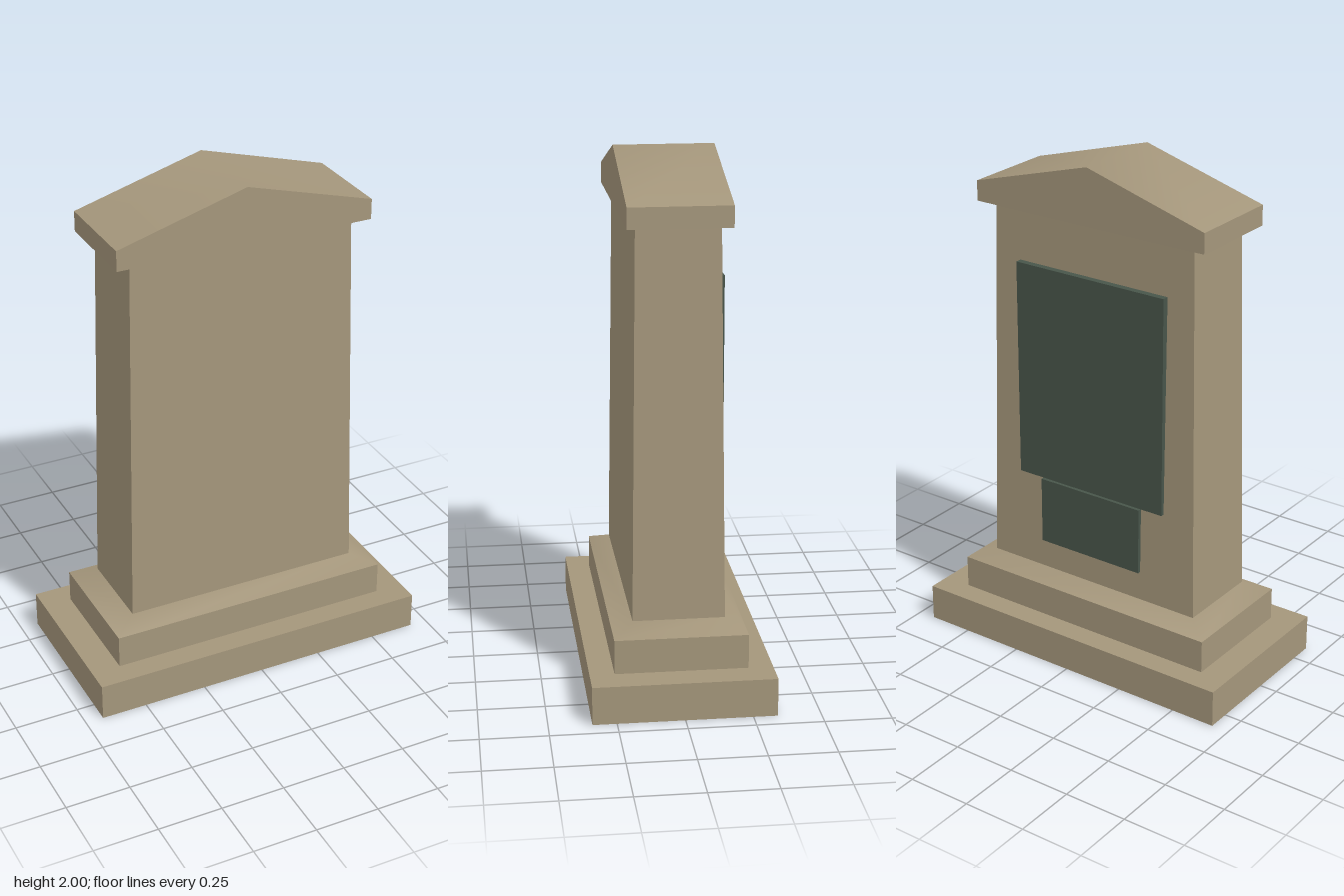
import * as THREE from 'three';
import { toCreasedNormals } from 'three/addons/utils/BufferGeometryUtils.js';

const CREASE = 0.6; // shallow slopes blend, corners stay sharp

// Box from y0 to y1 whose top has its own half sizes
function taperedBlock(y0, y1, [bx, bz], [tx, tz] = [bx, bz]) {
  const geo = new THREE.BoxGeometry(2, 1, 2);
  const p = geo.attributes.position;
  for (let i = 0; i < p.count; i++) {
    const top = p.getY(i) > 0;
    p.setXYZ(i, p.getX(i) * (top ? tx : bx), top ? y1 : y0, p.getZ(i) * (top ? tz : bz));
  }
  return toCreasedNormals(geo, CREASE);
}

// Gabled cap: pentagon profile extruded front to back
function gabledCap(halfX, halfZ, y0, eaves, apex) {
  const shape = new THREE.Shape([
    [-halfX, y0], [halfX, y0], [halfX, eaves], [0, apex], [-halfX, eaves],
  ].map(([x, y]) => new THREE.Vector2(x, y)));
  const geo = new THREE.ExtrudeGeometry(shape, { depth: 2 * halfZ, bevelEnabled: false });
  geo.translate(0, 0, -halfZ);
  return toCreasedNormals(geo, CREASE);
}

export function createModel() {
  const group = new THREE.Group();
  const stone = new THREE.MeshStandardMaterial({ color: 0xa4967b });
  stone.name = 'sandstone';
  const bronze = new THREE.MeshStandardMaterial({ color: 0x48554a });
  bronze.name = 'dark green bronze';

  const add = (name, geo, material) => {
    const mesh = new THREE.Mesh(geo, material);
    mesh.name = name;
    group.add(mesh);
  };

  // Stepped foot
  add('base', taperedBlock(0, 0.145, [0.68, 0.34]), stone);
  add('plinth', taperedBlock(0.145, 0.275, [0.567, 0.248]), stone);
  add('plinthBevel', taperedBlock(0.275, 0.312, [0.567, 0.248], [0.475, 0.172]), stone);

  // Tapering shaft and gabled top
  add('shaft', taperedBlock(0.312, 1.778, [0.475, 0.172], [0.443, 0.154]), stone);
  add('cap', gabledCap(0.506, 0.189, 1.778, 1.857, 2), stone);

  // Plaques on the back: [name, width, bottom, top, outer z]
  for (const [name, width, y0, y1, z] of [
    ['largePlaque', 0.666, 0.706, 1.572, -0.182],
    ['smallPlaque', 0.46, 0.43, 0.699, -0.184],
  ]) {
    const depth = 0.027;
    const geo = new THREE.BoxGeometry(width, y1 - y0, depth);
    geo.translate(0, (y0 + y1) / 2, z + depth / 2);
    add(name, geo, bronze);
  }
  return group;
}
